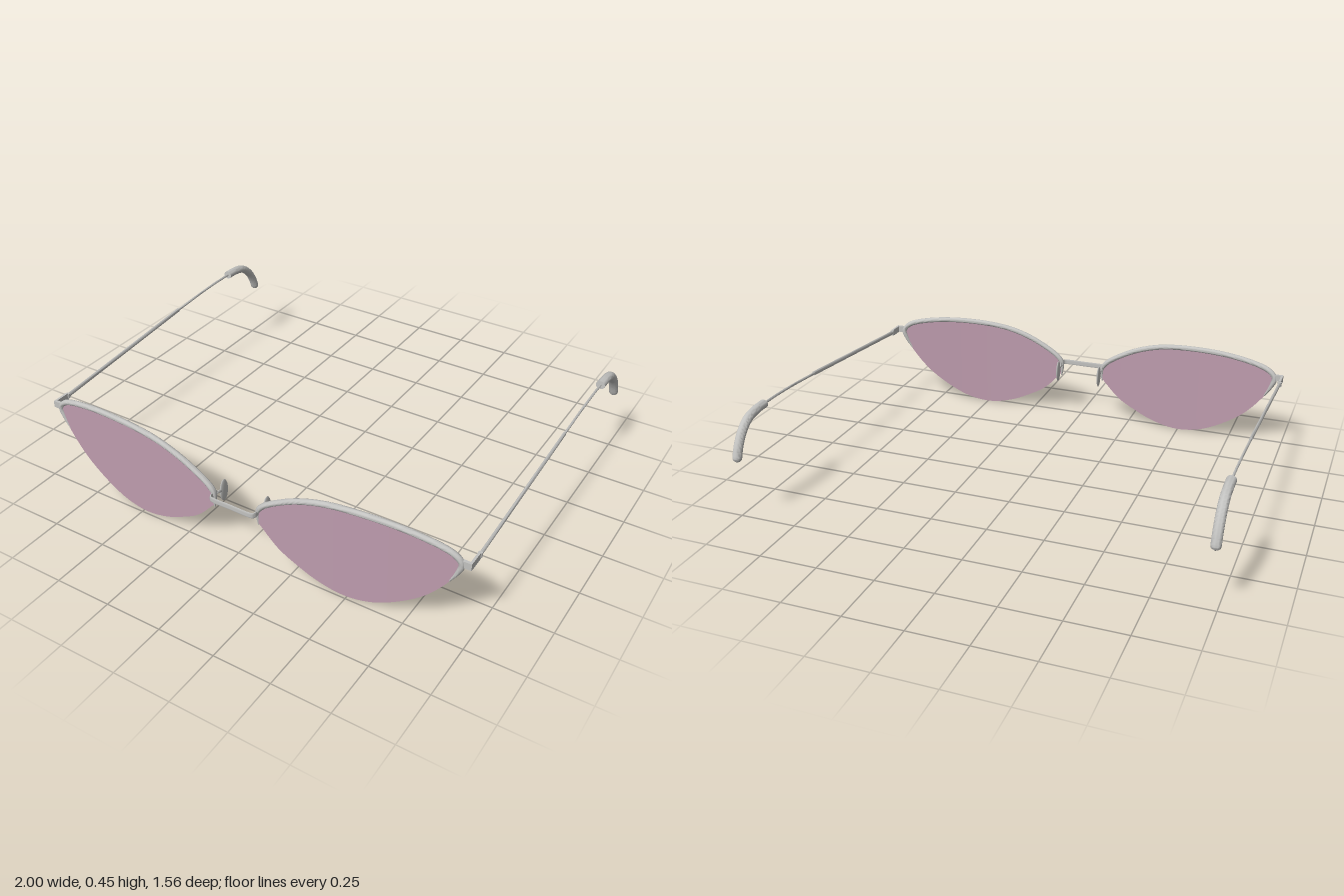
import * as THREE from 'three';
import { toCreasedNormals } from 'three/addons/utils/BufferGeometryUtils.js';

const metal = new THREE.MeshStandardMaterial({ color: 0xc2c2c0 });
metal.name = 'silver metal';
const tint = new THREE.MeshStandardMaterial({ color: 0xbe9cae });
tint.name = 'rose lens';

const V = (x, y, z) => new THREE.Vector3(x, y, z);
const X = V(1, 0, 0), Y = V(0, 1, 0), Z = V(0, 0, 1);
// Gentle wrap of the front, seen from above
const frontZ = x => 0.747 - 0.058 * x * x;
const spline = pts => new THREE.CatmullRomCurve3(pts, false, 'centripetal');
const onFront = pts => spline(pts.map(([x, y]) => V(x, y, frontZ(x))));

function add(parent, name, geometry, material = metal) {
  const mesh = new THREE.Mesh(geometry, material);
  mesh.name = name;
  parent.add(mesh);
  return mesh;
}

// Sweeps an ellipse along a curve; radii(t) gives [across, along side axis]
function sweep(curve, side, radii, segs = 40, sides = 12) {
  const pos = [], idx = [];
  for (let i = 0; i <= segs; i++) {
    const t = i / segs, p = curve.getPointAt(t);
    const n = side.clone().cross(curve.getTangentAt(t)).normalize();
    const [rn, rb] = radii(t);
    for (let j = 0; j < sides; j++) {
      const a = (j + 0.5) / sides * Math.PI * 2;
      const q = p.clone().addScaledVector(n, Math.cos(a) * rn).addScaledVector(side, Math.sin(a) * rb);
      pos.push(q.x, q.y, q.z);
      if (i === segs) continue;
      const k = (j + 1) % sides, r = i * sides, s = r + sides;
      idx.push(r + j, r + k, s + j, r + k, s + k, s + j);
    }
  }
  const last = segs * sides;
  for (let j = 1; j < sides - 1; j++) {
    idx.push(0, j + 1, j, last, last + j, last + j + 1);
  }
  const g = new THREE.BufferGeometry();
  g.setAttribute('position', new THREE.Float32BufferAttribute(pos, 3));
  g.setIndex(idx);
  return toCreasedNormals(g, 0.8);
}

// Thin curved lens: a box bent between an upper and a lower outline
function lensGeometry() {
  const upper = onFront([[0.102, 0.215], [0.115, 0.275], [0.22, 0.348], [0.38, 0.408], [0.6, 0.428],
    [0.8, 0.413], [0.92, 0.378], [0.953, 0.345]]);
  const lower = onFront([[0.102, 0.21], [0.195, 0.115], [0.275, 0.068], [0.37, 0.026], [0.48, 0.003], [0.58, 0.013],
    [0.675, 0.05], [0.81, 0.14], [0.905, 0.25], [0.952, 0.335]]);
  const g = new THREE.BoxGeometry(1, 1, 1, 48, 6, 1);
  const p = g.attributes.position;
  for (let i = 0; i < p.count; i++) {
    const u = p.getX(i) + 0.5, v = p.getY(i) + 0.5;
    const q = lower.getPointAt(u).lerp(upper.getPointAt(u), v);
    p.setXYZ(i, q.x, q.y, frontZ(q.x) + p.getZ(i) * 0.008);
  }
  g.computeVertexNormals();
  return g;
}

function buildSide(name) {
  const half = new THREE.Group();
  half.name = name;
  add(half, 'lens', lensGeometry(), tint);

  // Half rim over the top of the lens, tapering at both ends
  const rim = onFront([[0.106, 0.195], [0.108, 0.268], [0.22, 0.35], [0.38, 0.408], [0.6, 0.426],
    [0.8, 0.411], [0.915, 0.379], [0.945, 0.345], [0.93, 0.297], [0.903, 0.25]]);
  add(half, 'rim', sweep(rim, Z, t => {
    const k = Math.min(1, 0.3 + 9 * Math.min(t, 1 - t));
    return [0.012 * k, 0.013 * k];
  }, 90));

  // Nose pad and its arm
  const arm = spline([V(0.105, 0.25, 0.74), V(0.104, 0.25, 0.715), V(0.104, 0.235, 0.69)]);
  add(half, 'nosePadArm', sweep(arm, X, () => [0.006, 0.005], 12, 8));
  const pad = add(half, 'nosePad', new THREE.SphereGeometry(1, 20, 14));
  pad.scale.set(0.007, 0.051, 0.025);
  pad.position.set(0.104, 0.238, 0.686);

  // End piece and hinge
  const end = add(half, 'endPiece', new THREE.BoxGeometry(0.038, 0.03, 0.012));
  end.position.set(0.965, 0.349, 0.694);
  const hinge = add(half, 'hinge', new THREE.BoxGeometry(0.01, 0.03, 0.075));
  hinge.position.set(0.979, 0.349, 0.662);
  const pin = add(half, 'hingePin', new THREE.CylinderGeometry(0.009, 0.009, 0.02, 14));
  pin.position.set(0.979, 0.35, 0.621);

  // Temple: flat front bar, thin rear wire, thick curved tip
  const bar = new THREE.LineCurve3(V(0.979, 0.35, 0.625), V(0.979, 0.415, -0.145));
  add(half, 'templeBar', sweep(bar, X, () => [0.01, 0.0065], 4));
  const wire = spline([V(0.979, 0.414, -0.14), V(0.979, 0.426, -0.32), V(0.979, 0.43, -0.43), V(0.979, 0.43, -0.56)]);
  add(half, 'templeWire', sweep(wire, X, () => [0.006, 0.005], 20, 10));
  const tip = spline([V(0.979, 0.43, -0.54), V(0.979, 0.427, -0.6), V(0.979, 0.413, -0.66), V(0.979, 0.377, -0.708),
    V(0.979, 0.325, -0.744), V(0.979, 0.262, -0.768)]);
  add(half, 'templeTip', sweep(tip, X, t => {
    const e = Math.max(0, (t - 0.94) / 0.06);
    const r = 0.02 * Math.sqrt(Math.max(0.01, 1 - e * e));
    return [r * 0.92, r];
  }, 64, 18));
  return half;
}

export function createModel() {
  const model = new THREE.Group();
  model.name = 'glasses';
  const left = buildSide('leftSide');
  const right = buildSide('rightSide');
  right.scale.x = -1;
  model.add(left, right);

  // Bridge: flat strap bent forward between the rims
  const bridge = spline([V(-0.106, 0.255, 0.73), V(-0.106, 0.255, 0.762), V(-0.103, 0.255, 0.773), V(-0.094, 0.255, 0.778),
    V(0, 0.255, 0.779), V(0.094, 0.255, 0.778), V(0.103, 0.255, 0.773), V(0.106, 0.255, 0.762), V(0.106, 0.255, 0.73)]);
  add(model, 'bridge', sweep(bridge, Y, () => [0.004, 0.013], 60, 8));
  return model;
}
